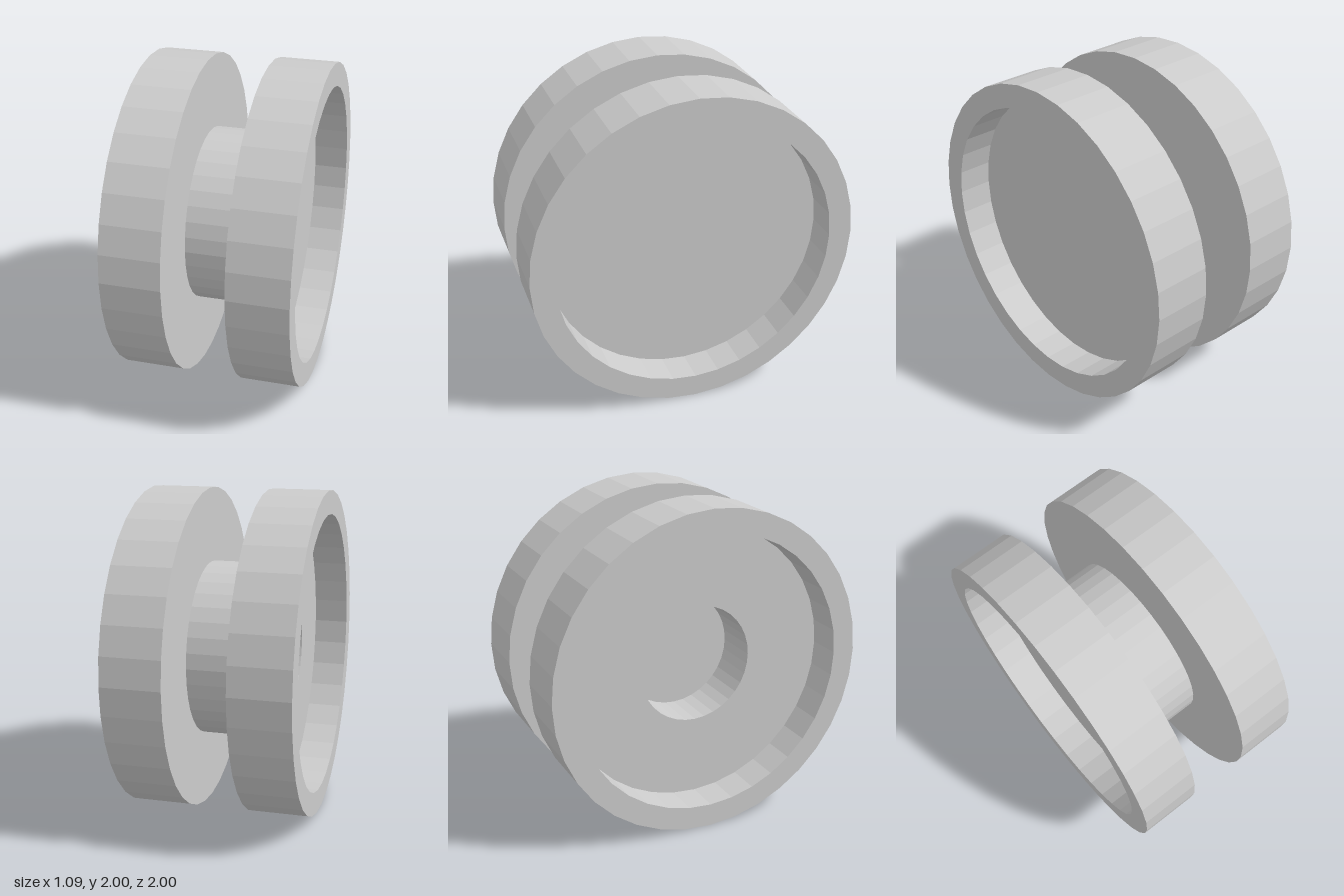
import * as THREE from 'three';

const SIDES = 36;
const HALF = 0.545;     // half of the overall width
const INNER = 0.183;    // inner face of each flange
const FLOOR = 0.33;     // floor of the outer recesses
const R = 1, RIM_R = 0.856, HUB_R = 0.542, BORE_R = 0.365;
const BORE_END = -0.04;

const material = new THREE.MeshStandardMaterial({ color: 0xcccccc, flatShading: true });

// Spins a profile of [radius, x] points around the x axis
function turned(name, profile) {
  const points = profile.map(([r, x]) => new THREE.Vector2(r, x));
  const geometry = new THREE.LatheGeometry(points, SIDES).toNonIndexed();
  geometry.rotateZ(-Math.PI / 2);
  geometry.computeVertexNormals();
  const mesh = new THREE.Mesh(geometry, material);
  mesh.name = name;
  return mesh;
}

export function createModel() {
  const spool = new THREE.Group();
  spool.name = 'spool';

  // Flange with a raised rim and a closed recess
  spool.add(turned('leftFlange', [
    [HUB_R, INNER], [R, INNER], [R, HALF], [RIM_R, HALF], [RIM_R, FLOOR], [0, FLOOR],
  ]));

  // Matching flange, its recess opening into the bore
  spool.add(turned('rightFlange', [
    [BORE_R, -FLOOR], [RIM_R, -FLOOR], [RIM_R, -HALF], [R, -HALF], [R, -INNER], [HUB_R, -INNER],
  ]));

  // Hub joining the flanges
  spool.add(turned('hub', [[HUB_R, -INNER], [HUB_R, INNER]]));

  // Blind bore running into the hub
  spool.add(turned('bore', [[0, BORE_END], [BORE_R, BORE_END], [BORE_R, -FLOOR]]));

  spool.position.y = R;
  const model = new THREE.Group();
  model.name = 'model';
  model.add(spool);
  return model;
}
